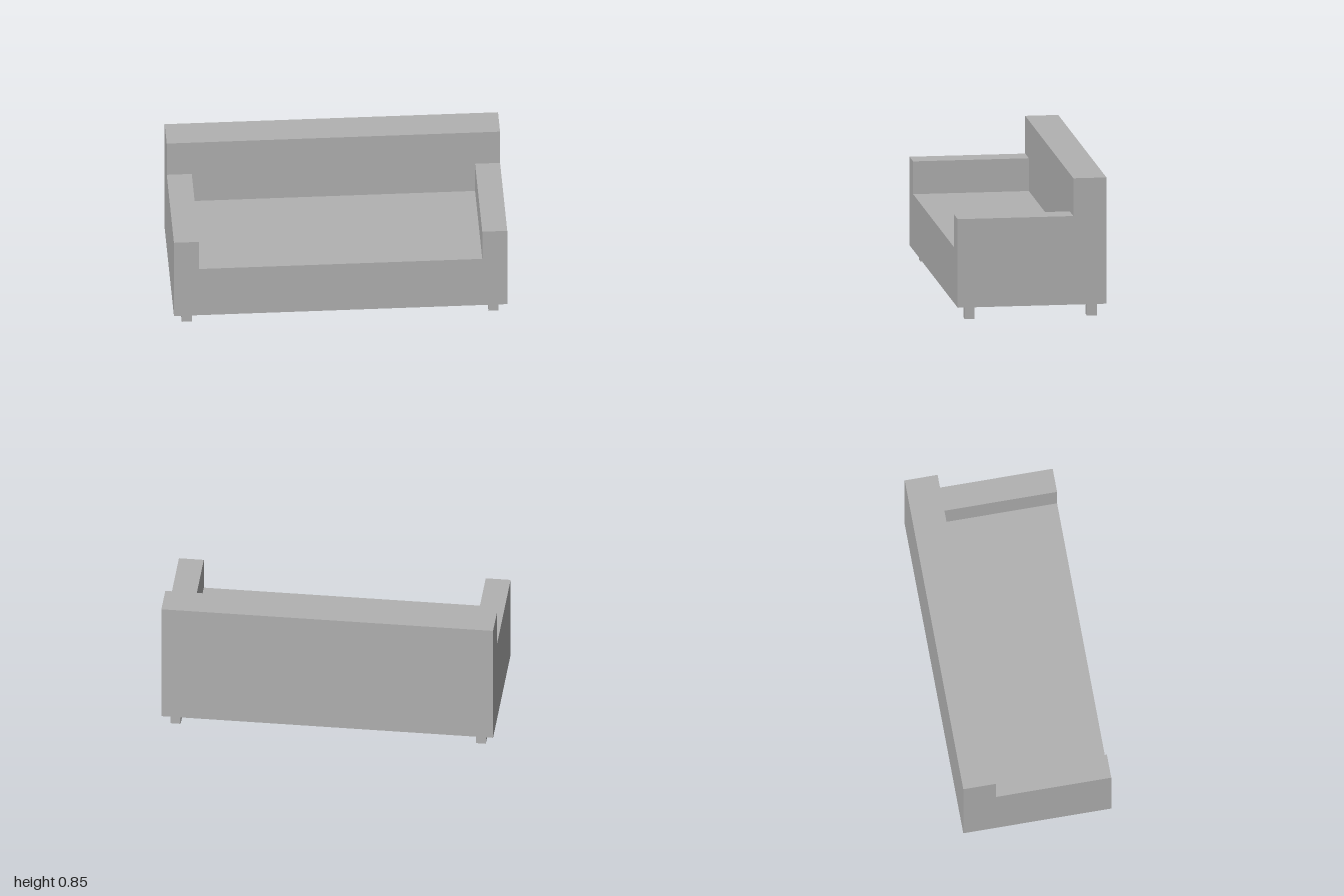
import * as THREE from 'three';

export function createModel() {
  const sofa = new THREE.Group();
  sofa.name = 'sofa';
  const grey = new THREE.MeshStandardMaterial({ color: 0xb2b2b2 });
  grey.name = 'light grey';

  function add(name, geometry, x, y, z) {
    const mesh = new THREE.Mesh(geometry, grey);
    mesh.name = name;
    mesh.position.set(x, y, z);
    sofa.add(mesh);
  }

  const base = 0.08, seatTop = 0.42, armTop = 0.62, backTop = 0.85;
  const armInner = 0.85, backFront = -0.25, front = 0.45;

  // Seat and both arms: one U-shaped profile running front to back
  const profile = new THREE.Shape([
    [-1, base], [1, base], [1, armTop], [armInner, armTop],
    [armInner, seatTop], [-armInner, seatTop], [-armInner, armTop], [-1, armTop],
  ].map(([x, y]) => new THREE.Vector2(x, y)));
  const seatGeometry = new THREE.ExtrudeGeometry(profile, { depth: front - backFront, bevelEnabled: false });
  add('seatAndArms', seatGeometry, 0, 0, backFront);

  // Full-width backrest
  add('backrest', new THREE.BoxGeometry(2, backTop - base, 0.2), 0, (base + backTop) / 2, -0.35);

  // Four square legs
  const legGeometry = new THREE.BoxGeometry(0.06, base, 0.06);
  for (const [side, x] of [['left', 0.92], ['right', -0.92]]) {
    for (const [end, z] of [['Front', 0.37], ['Back', -0.37]]) {
      add(side + end + 'Leg', legGeometry, x, base / 2, z);
    }
  }

  return sofa;
}
